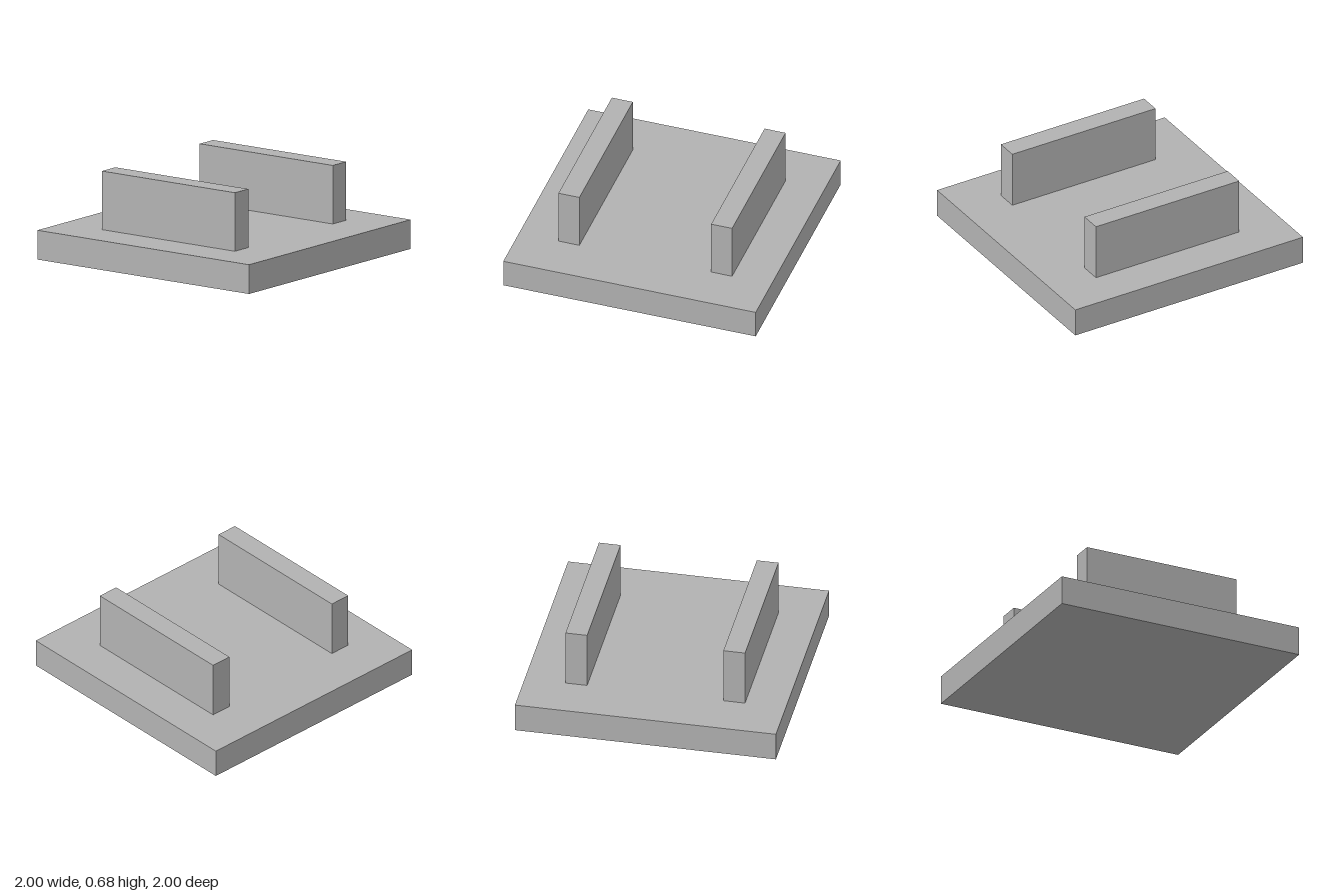
import * as THREE from 'three';

export function createModel() {
  const model = new THREE.Group();
  model.name = 'slabWithRails';
  const grey = new THREE.MeshStandardMaterial({ color: 0xb2b2b2 });
  grey.name = 'plain grey';

  const baseHeight = 0.225;
  const railHeight = 0.45;

  // Adds a box resting on the given height
  function addBox(name, width, height, depth, bottom, z) {
    const mesh = new THREE.Mesh(new THREE.BoxGeometry(width, height, depth), grey);
    mesh.name = name;
    mesh.position.set(0, bottom + height / 2, z);
    model.add(mesh);
  }

  // Square base slab
  addBox('baseSlab', 2, baseHeight, 2, 0, 0);

  // Two upright rails, mirrored front to back
  for (const side of [1, -1]) {
    addBox(side > 0 ? 'frontRail' : 'backRail', 1.258, railHeight, 0.166, baseHeight, side * 0.605);
  }

  return model;
}
